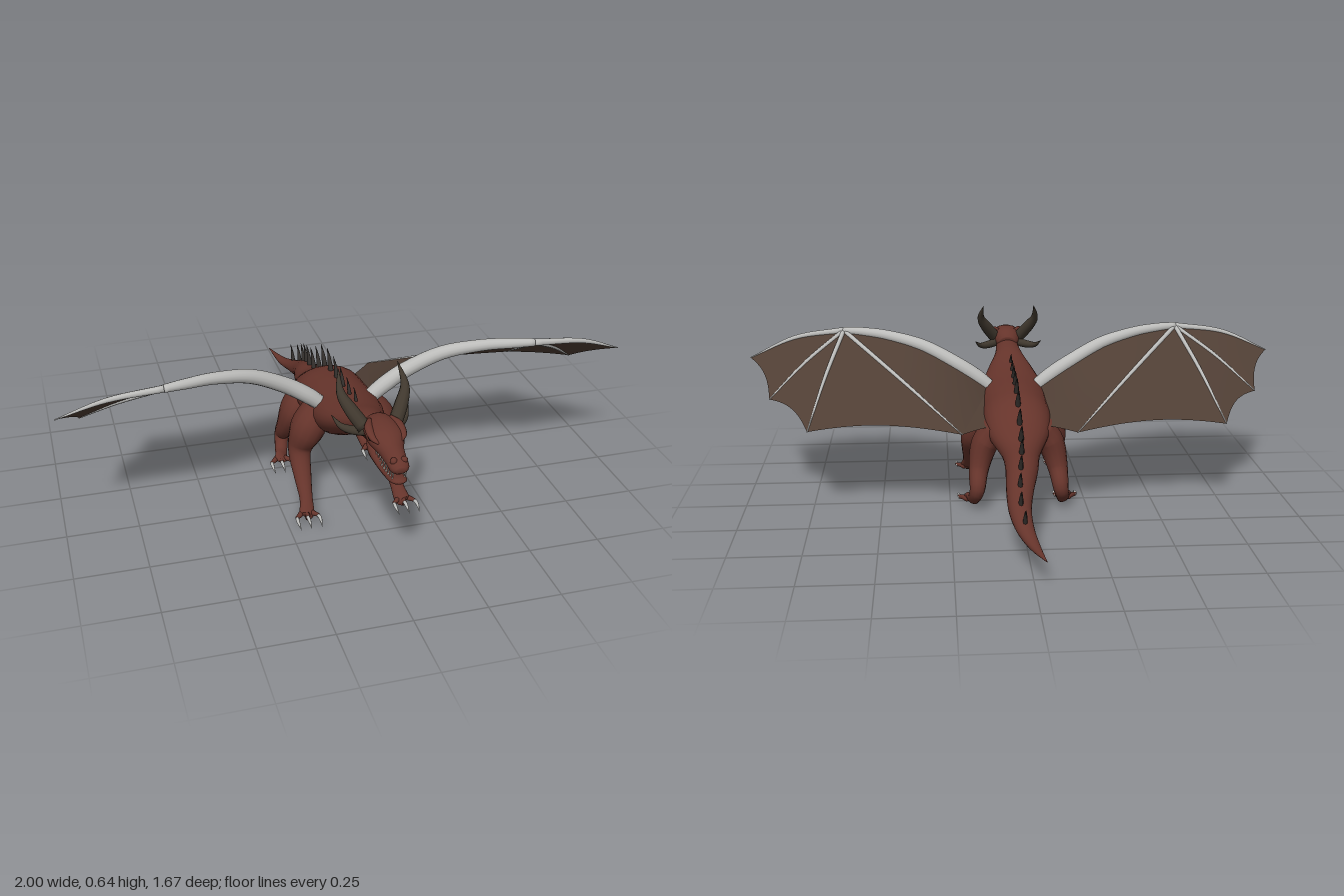
import * as THREE from 'three';

const V = (x, y, z) => new THREE.Vector3(x, y, z);
const mat = (name, color) => Object.assign(new THREE.MeshStandardMaterial({ color }), { name });

// Curve through the first three numbers of each row
const path = rows => new THREE.CatmullRomCurve3(rows.map(r => V(r[0], r[1], r[2])), false, 'catmullrom', 0.5);

// Closed elliptical loft; each row is [x, y, z, radius across, radius upward]
function loft(rows, { up = V(0, 1, 0), sides = 14, steps = 5 } = {}) {
  const centre = path(rows);
  const radii = path(rows.map(r => [r[3], r[4] ?? r[3], 0]));
  const n = (rows.length - 1) * steps, pos = [], idx = [];
  for (let i = 0; i <= n; i++) {
    const c = centre.getPoint(i / n), r = radii.getPoint(i / n), t = centre.getTangent(i / n);
    const s = V().crossVectors(up, t).normalize(), u = V().crossVectors(t, s);
    for (let j = 0; j < sides; j++) {
      const a = j / sides * Math.PI * 2;
      const p = c.clone().addScaledVector(s, Math.cos(a) * Math.max(r.x, 0.0005))
        .addScaledVector(u, Math.sin(a) * Math.max(r.y, 0.0005));
      pos.push(p.x, p.y, p.z);
    }
  }
  const first = (n + 1) * sides, last = first + 1;
  pos.push(...centre.getPoint(0).toArray(), ...centre.getPoint(1).toArray());
  for (let j = 0; j < sides; j++) {
    const k = (j + 1) % sides;
    for (let i = 0; i < n; i++) {
      const a = i * sides + j, b = i * sides + k;
      idx.push(a, b, a + sides, b, b + sides, a + sides);
    }
    idx.push(first, k, j, last, n * sides + j, n * sides + k);
  }
  return surface(pos, idx);
}

function surface(pos, idx) {
  const g = new THREE.BufferGeometry();
  g.setAttribute('position', new THREE.Float32BufferAttribute(pos, 3));
  g.setIndex(idx);
  g.computeVertexNormals();
  return g;
}

// Skin stretched between two curves, its outer edge pulled in by dent
function skin(a, b, dent, n = 14) {
  const pos = [], idx = [];
  for (let i = 0; i <= n; i++) for (let j = 0; j <= n; j++) {
    const u = i / n, v = j / n * (1 - dent * 4 * u * (1 - u));
    pos.push(...a(v).lerp(b(v), u).toArray());
    if (i < n && j < n) {
      const k = i * (n + 1) + j;
      idx.push(k, k + 1, k + n + 1, k + 1, k + n + 2, k + n + 1);
    }
  }
  return surface(pos, idx);
}

export function createModel() {
  const model = new THREE.Group();
  model.name = 'dragon';
  const hide = mat('redBrownHide', 0x66342b);
  const web = mat('wingSkin', 0x4f3e34);
  web.side = THREE.DoubleSide;
  const bone = mat('paleBone', 0xbcbcba);
  const horn = mat('darkHorn', 0x40382e);
  const spine = mat('spineHorn', 0x322e2b);
  const tooth = mat('toothIvory', 0xd6d2c8);
  const dark = mat('eyeBlack', 0x1c1512);
  const add = (name, geo, material) => {
    const m = new THREE.Mesh(geo, material);
    m.name = name;
    model.add(m);
    return m;
  };

  // Neck, trunk and curling tail
  const trunk = [
    [0, 0.452, 0.63, 0.042, 0.035], [0, 0.434, 0.5, 0.055, 0.04], [0, 0.396, 0.4, 0.088, 0.052],
    [0, 0.358, 0.3, 0.115, 0.073], [0, 0.327, 0.2, 0.125, 0.093], [0, 0.31, 0.1, 0.126, 0.1],
    [0, 0.302, 0, 0.124, 0.09], [0, 0.272, -0.1, 0.106, 0.064], [0, 0.236, -0.2, 0.068, 0.053],
    [0.005, 0.21, -0.3, 0.057, 0.052], [0.018, 0.178, -0.4, 0.048, 0.043], [0.025, 0.14, -0.5, 0.039, 0.036],
    [0.015, 0.108, -0.6, 0.03, 0.024], [-0.008, 0.087, -0.7, 0.018, 0.014], [-0.035, 0.088, -0.83, 0.001, 0.001],
  ];
  add('body', loft(trunk, { sides: 24 }), hide);

  // Curved spines along the back
  for (let i = 0; i < 13; i++) {
    const z = 0.36 - 0.0795 * i;
    const k = trunk.findIndex(r => r[2] <= z), a = trunk[k - 1], b = trunk[k];
    const f = (a[2] - z) / (a[2] - b[2]), at = q => a[q] + (b[q] - a[q]) * f;
    const x = at(0), y = at(1) + at(4) - 0.008;
    const s = i < 5 ? 0.55 + 0.1 * i : 1 - 0.035 * (i - 5);
    add('backSpine', loft([
      [x, y, z, 0.011 * s, 0.02 * s], [x, y + 0.03 * s, z - 0.014 * s, 0.009 * s, 0.015 * s],
      [x, y + 0.058 * s, z - 0.032 * s, 0.005 * s, 0.008 * s], [x, y + 0.08 * s, z - 0.058 * s, 0.0005, 0.0005],
    ], { up: V(0, 0, 1), sides: 8, steps: 3 }), spine);
  }

  // Head and open lower jaw
  add('head', loft([
    [0, 0.462, 0.57, 0.035, 0.03], [0, 0.473, 0.6, 0.05, 0.045], [0, 0.48, 0.64, 0.058, 0.045],
    [0, 0.478, 0.69, 0.06, 0.04], [0, 0.464, 0.74, 0.042, 0.034], [0, 0.454, 0.79, 0.034, 0.029],
    [0, 0.448, 0.825, 0.031, 0.023], [0, 0.446, 0.842, 0.016, 0.01],
  ], { sides: 18 }), hide);
  add('lowerJaw', loft([
    [0, 0.425, 0.59, 0.035, 0.028], [0, 0.411, 0.64, 0.045, 0.032], [0, 0.396, 0.7, 0.038, 0.02],
    [0, 0.392, 0.76, 0.031, 0.016], [0, 0.401, 0.82, 0.027, 0.012], [0, 0.405, 0.842, 0.012, 0.005],
  ], { sides: 16 }), hide);

  for (const s of [1, -1]) {
    const side = s > 0 ? 'left' : 'right';
    const flip = rows => rows.map(([x, ...rest]) => [x * s, ...rest]);
    const part = (name, rows, material, opt) => add(side + name, loft(flip(rows), opt), material);

    // Brow, eye, nostril bump and teeth
    part('Brow', [[0.035, 0.512, 0.62, 0.008], [0.05, 0.508, 0.66, 0.014, 0.01], [0.05, 0.495, 0.705, 0.012, 0.009],
      [0.036, 0.485, 0.73, 0.004]], hide, { sides: 10 });
    const eye = add(side + 'Eye', new THREE.SphereGeometry(0.011, 12, 8), dark);
    eye.position.set(0.053 * s, 0.487, 0.69);
    eye.scale.set(0.7, 0.7, 1.3);
    const nostril = add(side + 'Nostril', new THREE.SphereGeometry(0.012, 12, 8), hide);
    nostril.position.set(0.017 * s, 0.469, 0.815);
    for (let i = 0; i < 9; i++) {
      const z = 0.68 + i * 0.018, x = (0.034 - i * 0.0012) * s;
      const upper = add('upperTooth', new THREE.ConeGeometry(0.004, 0.018, 6), tooth);
      upper.position.set(x * 0.85, 0.424, z);
      upper.rotation.x = Math.PI;
      const lower = add('lowerTooth', new THREE.ConeGeometry(0.004, 0.016, 6), tooth);
      lower.position.set(x * 0.8, 0.411, z - 0.008);
    }

    // Large horn and small cheek horn
    part('Horn', [[0.05, 0.485, 0.62, 0.024], [0.085, 0.535, 0.58, 0.022], [0.108, 0.58, 0.54, 0.014],
      [0.1, 0.637, 0.485, 0.001]], horn, { up: V(1, 0, 0), sides: 10 });
    part('CheekHorn', [[0.04, 0.465, 0.61, 0.016], [0.08, 0.46, 0.58, 0.015], [0.11, 0.464, 0.55, 0.01],
      [0.131, 0.487, 0.515, 0.001]], horn, { sides: 10 });

    // Legs with three long claws on each foot
    const z = V(0, 0, 1);
    part('FrontLeg', [[0.085, 0.35, 0.19, 0.05, 0.06], [0.13, 0.275, 0.205, 0.062, 0.068], [0.16, 0.19, 0.203, 0.043, 0.042],
      [0.165, 0.12, 0.255, 0.033, 0.026], [0.168, 0.055, 0.318, 0.024, 0.02], [0.175, 0.018, 0.36, 0.027, 0.013],
      [0.178, 0.013, 0.38, 0.01, 0.006]], hide, { up: z });
    part('HindLeg', [[0.08, 0.29, -0.04, 0.05, 0.06], [0.122, 0.225, -0.03, 0.05, 0.068], [0.145, 0.14, -0.062, 0.037, 0.042],
      [0.152, 0.078, -0.11, 0.028, 0.03], [0.164, 0.032, -0.075, 0.024, 0.02], [0.174, 0.018, -0.03, 0.028, 0.013],
      [0.176, 0.013, -0.01, 0.01, 0.006]], hide, { up: z });
    for (const toeZ of [0.35, -0.035]) for (const d of [-1, 0, 1]) {
      const x = 0.178 + d * 0.02, k = 0.178 + d * 0.04;
      part('Toe', [[x - d * 0.01, 0.016, toeZ - 0.01, 0.008], [x, 0.018, toeZ + 0.01, 0.01],
        [k, 0.016, toeZ + 0.03, 0.006]], hide, { sides: 8 });
      part('Claw', [[k - d * 0.004, 0.014, toeZ + 0.02, 0.006], [k, 0.016, toeZ + 0.05, 0.006],
        [k - d * 0.003, 0.004, toeZ + 0.088, 0.0006]], bone, { sides: 8 });
    }

    // Wing arm from shoulder to wrist
    const arm = [[0.09, 0.375, 0.225, 0.026], [0.14, 0.415, 0.226, 0.029], [0.22, 0.468, 0.232, 0.028],
      [0.34, 0.53, 0.26, 0.025], [0.47, 0.562, 0.302, 0.021], [0.57, 0.572, 0.335, 0.018], [0.645, 0.575, 0.355, 0.014]];
    part('WingArm', arm, bone);
    const w = [0.645, 0.575, 0.355];

    // Wing fingers fanning out of the wrist
    const fingers = [
      [[...w, 0.013], [0.83, 0.552, 0.343, 0.009], [0.998, 0.485, 0.305, 0.002]],
      [[...w, 0.009], [0.785, 0.48, 0.23, 0.007], [0.91, 0.372, 0.105, 0.002]],
      [[...w, 0.009], [0.705, 0.445, 0.125, 0.007], [0.755, 0.307, -0.108, 0.002]],
      [[...w, 0.009], [0.425, 0.442, 0.095, 0.007], [0.205, 0.303, -0.167, 0.002]],
    ];
    fingers.forEach(f => part('WingFinger', f, bone, { sides: 8, steps: 8 }));

    // Scalloped wing skin between fingers, arm and flank
    const curves = fingers.map(f => path(flip(f))), at = c => t => c.getPoint(t);
    [0.06, 0.07, 0.07].forEach((d, i) => add(side + 'WingSkin', skin(at(curves[i]), at(curves[i + 1]), d), web));
    const armCurve = path(flip(arm));
    add(side + 'WingSkin', skin(at(curves[3]), t => armCurve.getPoint(1 - t), 0), web);
    const root = V(0.09 * s, 0.375, 0.225), tip = V(0.205 * s, 0.303, -0.167), flank = V(0.09 * s, 0.3, -0.06);
    add(side + 'FlankSkin', skin(t => root.clone().lerp(tip, t), t => root.clone().lerp(flank, t), 0.02), web);
  }
  return model;
}
